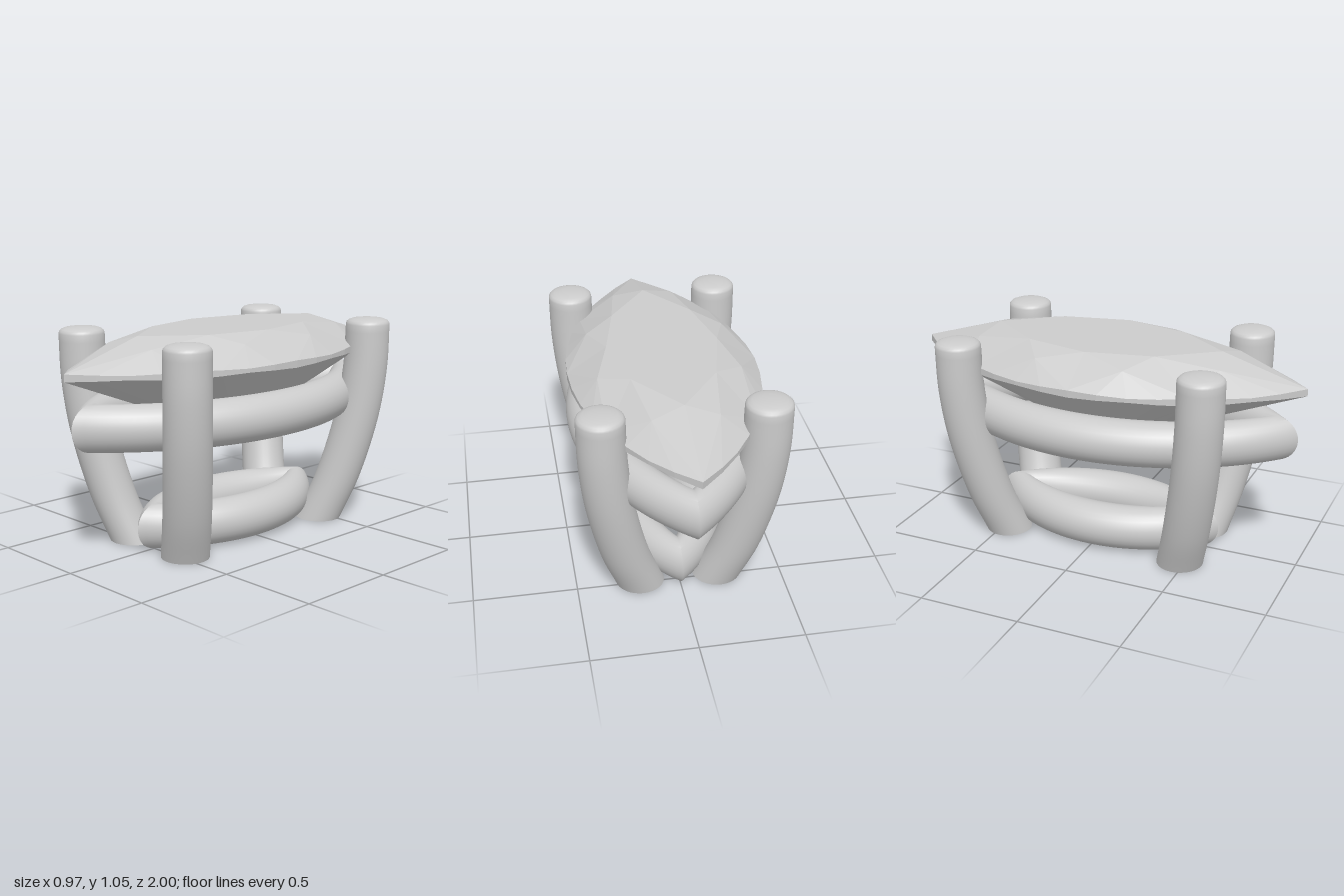
import * as THREE from 'three';
import { toCreasedNormals } from 'three/addons/utils/BufferGeometryUtils.js';

const smooth = new THREE.MeshStandardMaterial({ color: 0xcccccc });
const faceted = new THREE.MeshStandardMaterial({ color: 0xcccccc, flatShading: true });

// Point on a pointed oval of half width a and half length b; u = 0 is the +z tip, u = 0.25 the +x side
function lens(a, b, u, y) {
  u = ((u % 1) + 1) % 1;
  const R = (a * a + b * b) / (2 * a);
  const side = u < 0.5 ? 1 : -1;
  const phi = Math.asin(b / R) * (1 - 4 * (u % 0.5));
  return new THREE.Vector3(side * (R * Math.cos(phi) - R + a), y, side * R * Math.sin(phi));
}

// Skin over closed rings of points; wrap joins the last ring to the first
function loft(rings, wrap) {
  const n = rings[0].length;
  const index = [];
  for (let i = 0; i < rings.length - (wrap ? 0 : 1); i++) {
    const next = (i + 1) % rings.length;
    for (let j = 0; j < n; j++) {
      const k = (j + 1) % n;
      const a = i * n + j, b = i * n + k, c = next * n + k, d = next * n + j;
      index.push(a, b, c, a, c, d);
    }
  }
  const geometry = new THREE.BufferGeometry().setFromPoints(rings.flat());
  geometry.setIndex(index);
  return toCreasedNormals(geometry, 0.7);
}

// Round rail following a pointed oval, creased at both tips
function railGeometry(a, b, y, r) {
  const rings = [];
  for (let i = 0; i < 28; i++) {
    const v = (i / 28) * Math.PI * 2;
    const off = r * Math.cos(v);
    rings.push(Array.from({ length: 80 }, (_, j) => lens(a + off, b + off, j / 80, y + r * Math.sin(v))));
  }
  return loft(rings, true);
}

// Curved claw with a flat foot and a softly rounded top
function prongGeometry(sx, sz) {
  const path = new THREE.CatmullRomCurve3([
    [0.19, 0, 0.47], [0.268, 0.22, 0.527], [0.34, 0.54, 0.585], [0.37, 0.8, 0.61], [0.376, 1.02, 0.615],
  ].map((p) => new THREE.Vector3(...p)));
  const ring = (p, rx, rz, y = p.y) => Array.from({ length: 32 }, (_, j) => {
    const t = (j / 32) * Math.PI * 2;
    return new THREE.Vector3(sx * p.x + rx * Math.sin(t), y, sz * p.z + rz * Math.cos(t));
  });
  const rings = [ring(path.getPoint(0), 0, 0)];
  for (let i = 0; i <= 24; i++) {
    const p = path.getPoint(i / 24);
    const lean = 1 - i / 24;
    rings.push(ring(p, 0.11 + 0.008 * lean, 0.11 + 0.004 * lean));
  }
  const top = path.getPoint(1);
  for (const [r, y] of [[0.107, 1.03], [0.098, 1.039], [0.08, 1.046], [0.045, 1.051], [0, 1.053]]) {
    rings.push(ring(top, r, r, y));
  }
  return loft(rings, false);
}

// Brilliant-cut stone: table, stars, kites, girdle and pavilion
function gemGeometry() {
  const tris = [];
  const at = (s, u, y) => lens(0.46 * s, s, u, y);
  const table = (k) => at(0.585, k / 8, 1.04);
  const star = (k) => at(0.79, (k + 0.5) / 8, 1.0);
  const half = (k) => at(0.28, (k + 0.5) / 8, 0.592);
  const wave = (i) => 0.004 * Math.cos((i / 4) * Math.PI * 2);
  const upper = (i) => at(1, i / 32, 0.911 + wave(i));
  const lower = (i) => at(1, i / 32, 0.884 - wave(i));
  const centre = new THREE.Vector3(0, 1.04, 0);
  const culet = new THREE.Vector3(0, 0.49, 0);
  for (let k = 0; k < 8; k++) {
    tris.push(centre, table(k), table(k + 1));
    tris.push(star(k), table(k + 1), table(k));
    tris.push(upper(4 * k), star(k), table(k), upper(4 * k), table(k), star(k - 1));
    tris.push(culet, half(k), lower(4 * k), culet, lower(4 * k), half(k - 1));
    for (let i = 4 * k; i < 4 * k + 4; i++) {
      tris.push(upper(i), upper(i + 1), star(k));
      tris.push(lower(i), lower(i + 1), upper(i + 1), lower(i), upper(i + 1), upper(i));
      tris.push(half(k), lower(i + 1), lower(i));
    }
  }
  const geometry = new THREE.BufferGeometry().setFromPoints(tris);
  geometry.computeVertexNormals();
  return geometry;
}

export function createModel() {
  const model = new THREE.Group();
  model.name = 'gemSetting';
  const add = (name, geometry, material = smooth) => {
    const mesh = new THREE.Mesh(geometry, material);
    mesh.name = name;
    model.add(mesh);
  };

  add('gem', gemGeometry(), faceted);
  add('upperRail', railGeometry(0.36, 0.86, 0.65, 0.11));
  add('lowerRail', railGeometry(0.18, 0.49, 0.112, 0.11));

  // Four claws, one per corner
  for (const [sx, side] of [[1, 'Left'], [-1, 'Right']]) {
    for (const [sz, end] of [[1, 'front'], [-1, 'back']]) {
      add(`${end}${side}Prong`, prongGeometry(sx, sz));
    }
  }
  return model;
}
